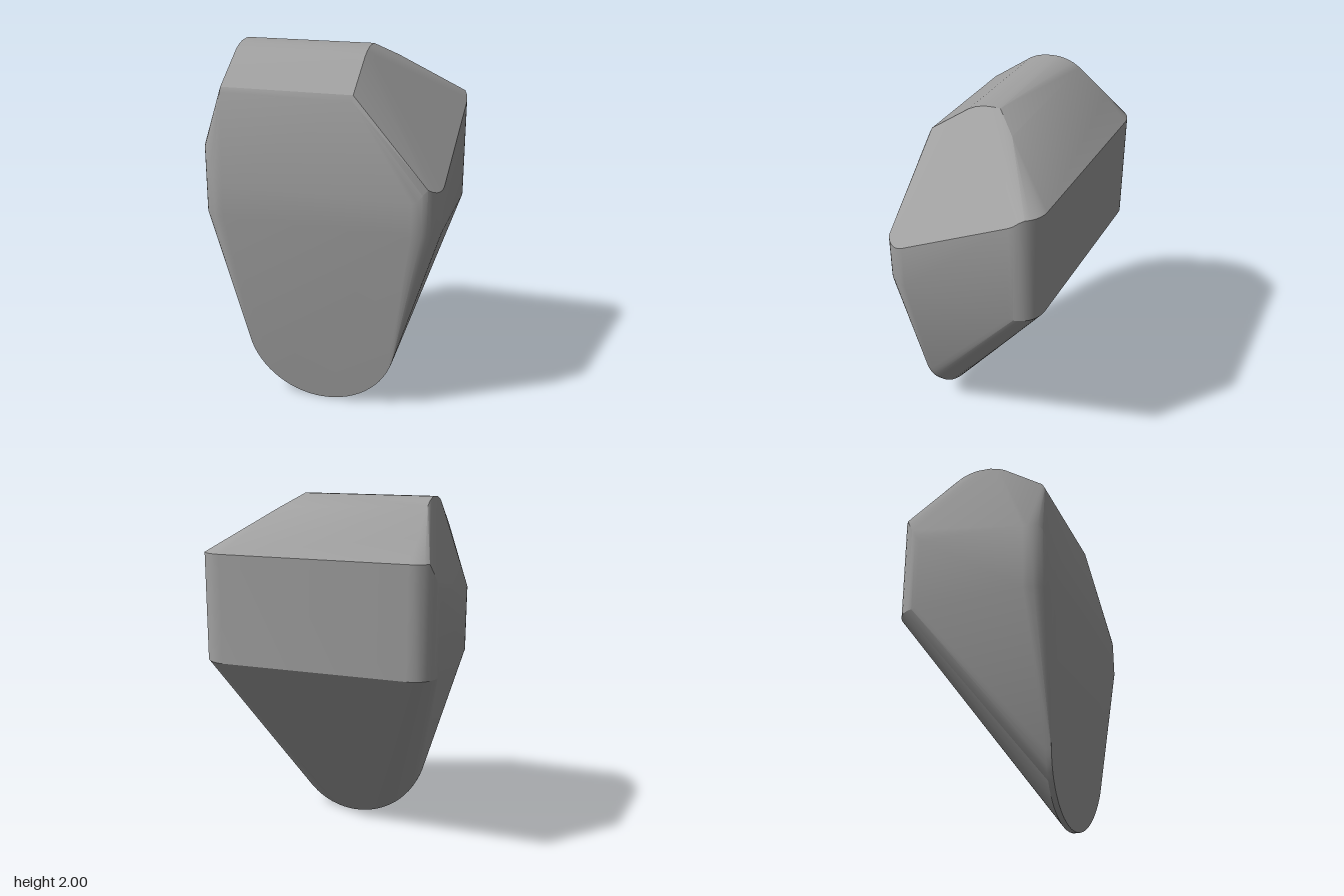
import * as THREE from 'three';
import { ConvexGeometry } from 'three/addons/geometries/ConvexGeometry.js';
import { toCreasedNormals } from 'three/addons/utils/BufferGeometryUtils.js';

const HALF_W = 0.66, HALF_D = 0.445, RADIUS = 0.14, ARC_STEPS = 8;

// Height of the sloping shoulder on the +x side
const shoulder = (x, z) => 2 - 1.05 * (x - 0.195) - 0.5 * (z + 0.03);

export function createModel() {
  const points = [];
  const add = (x, y, z) => points.push(new THREE.Vector3(x, y, z));

  // Upright middle band: rounded rectangle, with a top edge that varies per corner
  for (const sx of [-1, 1]) for (const sz of [-1, 1]) {
    for (let i = 0; i <= ARC_STEPS; i++) {
      const t = i / ARC_STEPS, a = t * Math.PI / 2; // t = 0 on the side, 1 on the front or back
      const x = sx * (HALF_W - RADIUS + RADIUS * Math.cos(a));
      const z = sz * (HALF_D - RADIUS + RADIUS * Math.sin(a));
      let top;
      if (sz < 0) top = sx > 0 ? Math.min(1.7, shoulder(x, z)) : Math.min(1.7, 1.52 + 0.36 * t);
      else top = Math.min(sx > 0 ? shoulder(x, z) : 1.47, 1.28 + (HALF_D - z) * 4);
      add(x, 1.1, z);
      add(x, top, z);
    }
  }

  // Rounded crest: [z, y] profile from front to back
  const crest = [[0.39, 1.77], [0.375, 1.8], [0.15, 1.96], [0.11, 1.98], [0.06, 1.995], [0, 2], [-0.03, 2]];
  const crestBack = [[-0.07, 1.993], [-0.11, 1.98], [-0.15, 1.957], [-0.31, 1.82]];
  for (const [z, y] of crest) {
    add(-0.535, y, z);
    add(0.19, y, z);
  }
  for (const [z, y] of crestBack) add(-0.535, y, z);
  add(0.3, 1.925, -0.15);
  add(0.5, 1.78, -0.3);

  // Thin rounded tip at the bottom, leaning with the front face
  for (let i = 0; i <= 28; i++) {
    const a = THREE.MathUtils.degToRad(-73 + 146 * i / 28);
    const y = 0.435 * (1 - Math.cos(a));
    const z = HALF_D - (1.1 - y) * 0.11;
    add(0.435 * Math.sin(a), y, z);
    add(0.435 * Math.sin(a), y, z - 0.03);
  }

  const stone = new THREE.MeshStandardMaterial({ color: 0xa0a0a0 });
  stone.name = 'stone grey';
  const body = new THREE.Mesh(toCreasedNormals(new ConvexGeometry(points), 0.42), stone);
  body.name = 'stoneBody';
  body.rotation.y = THREE.MathUtils.degToRad(5);

  const model = new THREE.Group();
  model.name = 'stone';
  model.add(body);
  return model;
}
